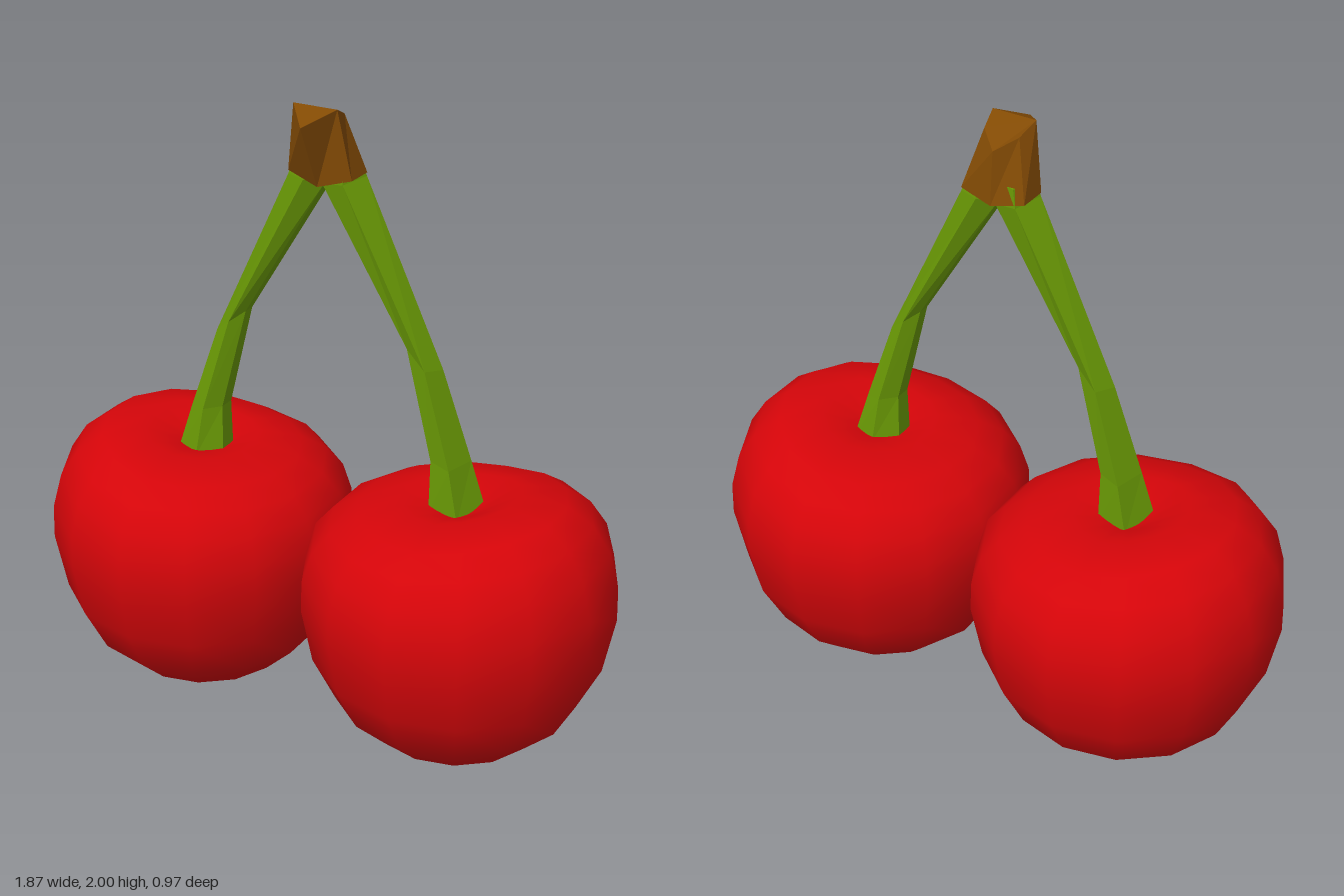
import * as THREE from 'three';
import { mergeVertices, toCreasedNormals } from 'three/addons/utils/BufferGeometryUtils.js';

// Skin a stack of rings (each a list of [x, y, z], counterclockwise from above) and close both ends
function loft(rings) {
  const pos = [];
  const n = rings[0].length;
  const tri = (a, b, c) => pos.push(...a, ...b, ...c);
  for (let i = 0; i < rings.length - 1; i++) {
    for (let j = 0; j < n; j++) {
      const k = (j + 1) % n;
      const [a, b, c, d] = [rings[i][j], rings[i][k], rings[i + 1][k], rings[i + 1][j]];
      tri(a, b, c);
      tri(a, c, d);
    }
  }
  const low = rings[0], high = rings[rings.length - 1];
  for (let j = 1; j < n - 1; j++) {
    tri(low[0], low[j + 1], low[j]);
    tri(high[0], high[j], high[j + 1]);
  }
  const geo = new THREE.BufferGeometry();
  geo.setAttribute('position', new THREE.Float32BufferAttribute(pos, 3));
  geo.computeVertexNormals();
  return geo;
}

// Round fruit with a dimple, its rim raised on the outer (-x) side
function fruitGeometry() {
  const profile = [
    [0, 0], [0.14, 0.01], [0.27, 0.07], [0.38, 0.175], [0.452, 0.32], [0.487, 0.5],
    [0.484, 0.6], [0.455, 0.695], [0.4, 0.762], [0.32, 0.81], [0.18, 0.842], [0.07, 0.81], [0, 0.79],
  ].map(([r, y]) => new THREE.Vector2(r, y));
  let geo = new THREE.LatheGeometry(profile, 14);
  geo.deleteAttribute('uv');
  geo.deleteAttribute('normal');
  geo = mergeVertices(geo, 1e-4);
  const p = geo.attributes.position;
  for (let i = 0; i < p.count; i++) {
    const x = p.getX(i), y = p.getY(i);
    p.setY(i, y - (x < 0 ? 0.22 : 0.04) * x * (y / 0.84) ** 6);
  }
  return toCreasedNormals(geo, 0.9);
}

// Bent stem: each section gives outer x/y, inner x/y and half depth
function stemGeometry() {
  const outline = [[0, 0.85], [0.5, 1], [1, 0.3], [1, -0.6], [0.25, -1]];
  const sections = [
    [-0.515, 0.79, -0.37, 0.79, 0.068],
    [-0.465, 0.95, -0.37, 0.96, 0.057],
    [-0.37, 1.23, -0.28, 1.3, 0.042],
    [-0.105, 1.78, 0, 1.76, 0.052],
    [-0.09, 1.83, 0, 1.83, 0.045],
  ];
  return loft(sections.map(([ox, oy, ix, iy, depth]) =>
    outline.map(([u, w]) => [ox + (ix - ox) * u, oy + (iy - oy) * u, w * depth])));
}

// Woody tip joining the stems, leaning forward
function tipGeometry() {
  return loft([
    [[-0.105, 1.79, 0.046], [0, 1.76, 0.062], [0.105, 1.79, 0.046],
      [0.105, 1.79, -0.046], [0, 1.765, -0.058], [-0.105, 1.79, -0.046]],
    [[-0.075, 2, 0.065], [0, 1.96, 0.155], [0.068, 2, 0.065],
      [0.055, 1.97, 0], [0, 1.93, -0.045], [-0.06, 1.97, 0]],
  ]);
}

export function createModel() {
  const red = new THREE.MeshStandardMaterial({ color: 0xd40509 });
  red.name = 'cherryRed';
  const green = new THREE.MeshStandardMaterial({ color: 0x6a9a05 });
  green.name = 'stemGreen';
  const brown = new THREE.MeshStandardMaterial({ color: 0x824a04 });
  brown.name = 'woodBrown';

  const model = new THREE.Group();
  model.name = 'cherryPair';
  const add = (parent, name, geo, mat) => {
    const mesh = new THREE.Mesh(geo, mat);
    mesh.name = name;
    parent.add(mesh);
    return mesh;
  };

  // One cherry with its stem on each side, the second turned half round
  const fruit = fruitGeometry();
  const stem = stemGeometry();
  for (const [side, turn] of [['right', 0], ['left', Math.PI]]) {
    const cherry = new THREE.Group();
    cherry.name = side + 'Cherry';
    cherry.rotation.y = turn;
    add(cherry, side + 'Fruit', fruit, red).position.x = -0.46;
    add(cherry, side + 'Stem', stem, green);
    model.add(cherry);
  }

  add(model, 'stemTip', tipGeometry(), brown);
  return model;
}
